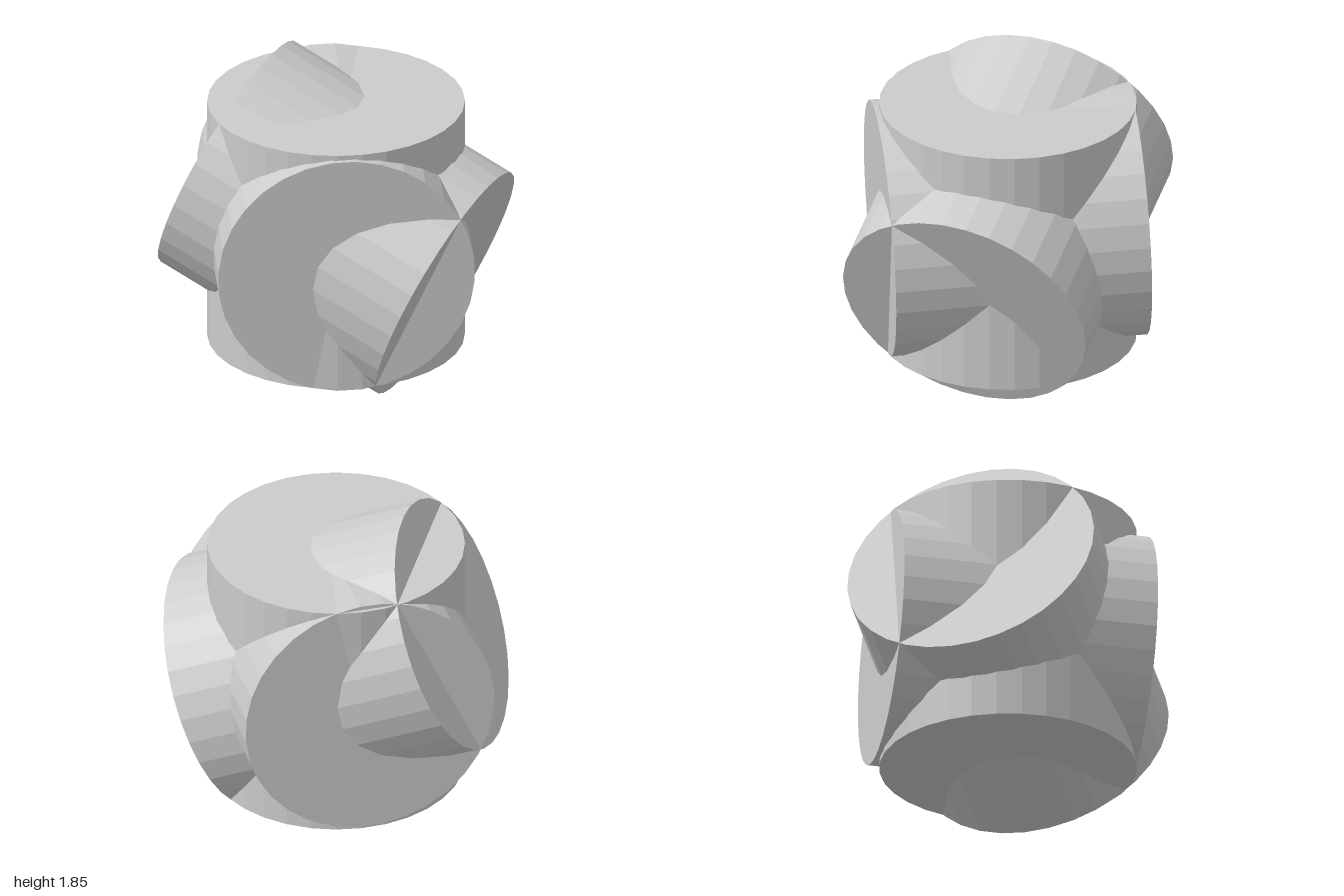
import * as THREE from 'three';

const RADIUS = 0.707;
const CENTRE_Y = 0.93;

// One equal-sided cylinder, flat shaded, turned about the common centre
function makeCylinder(name, axis, material) {
  const geometry = new THREE.CylinderGeometry(RADIUS, RADIUS, RADIUS * 2, 32);
  const mesh = new THREE.Mesh(geometry, material);
  mesh.name = name;
  mesh.position.y = CENTRE_Y;
  mesh.quaternion.setFromUnitVectors(
    new THREE.Vector3(0, 1, 0),
    new THREE.Vector3(...axis).normalize()
  );
  return mesh;
}

export function createModel() {
  const group = new THREE.Group();
  group.name = 'cylinderCompound';
  const material = new THREE.MeshStandardMaterial({ color: 0xcccccc, flatShading: true });

  // Three interpenetrating cylinders sharing one centre
  group.add(
    makeCylinder('uprightCylinder', [0, 1, 0], material),
    makeCylinder('frontBackCylinder', [-0.125, -0.035, 0.99], material),
    makeCylinder('diagonalCylinder', [0.75, -0.39, 0.54], material)
  );
  return group;
}
